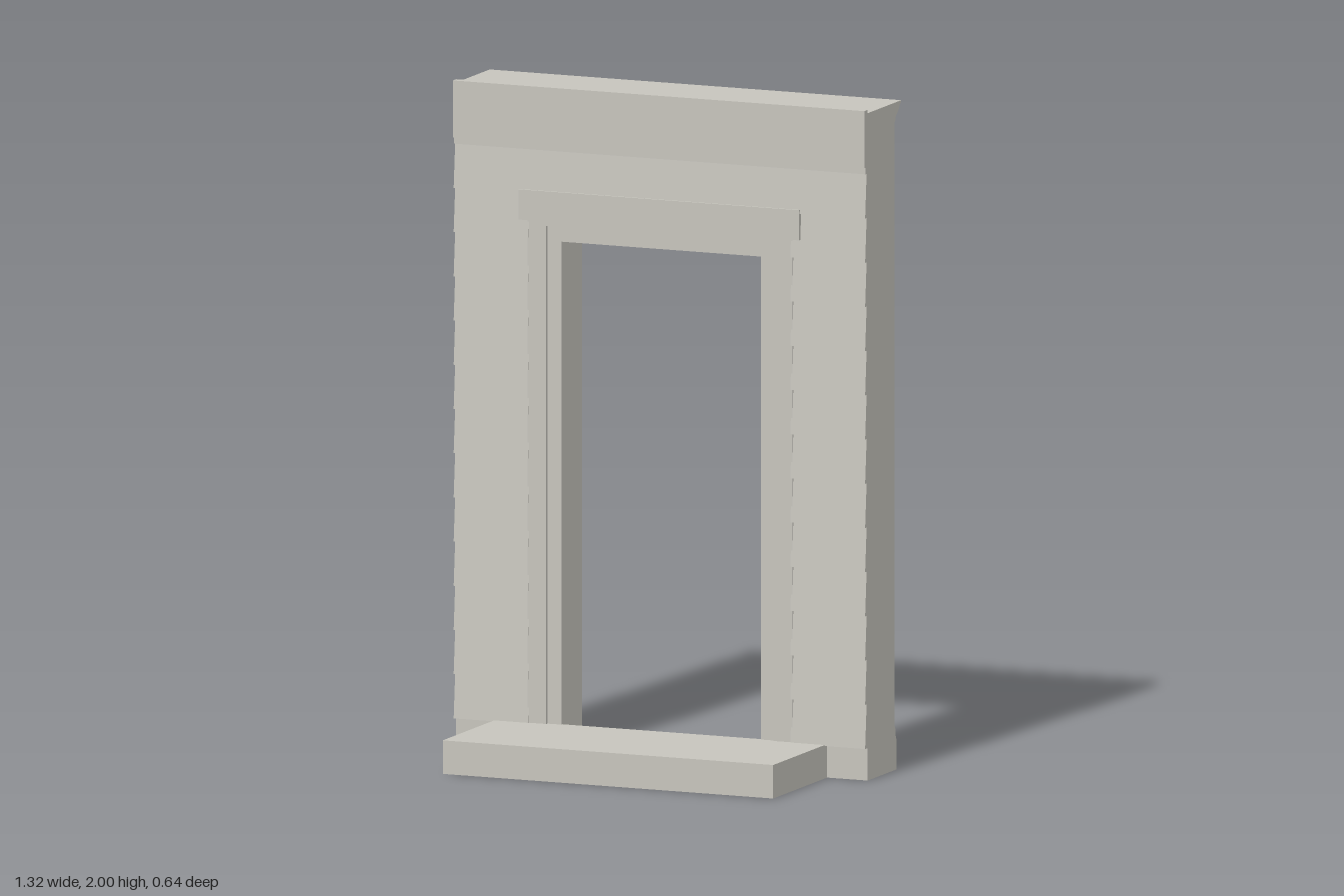
import * as THREE from 'three';

const stone = new THREE.MeshStandardMaterial({ color: 0xc6c4bc });
stone.name = 'warmGrey';

export function createModel() {
  const model = new THREE.Group();
  model.name = 'doorwayWall';

  const add = (name, geometry) => {
    const mesh = new THREE.Mesh(geometry, stone);
    mesh.name = name;
    model.add(mesh);
    return mesh;
  };

  // Box given by its limits on each axis
  const box = (name, x0, x1, y0, y1, z0, z1) =>
    add(name, new THREE.BoxGeometry(x1 - x0, y1 - y0, z1 - z0)
      .translate((x0 + x1) / 2, (y0 + y1) / 2, (z0 + z1) / 2));

  // Same box on both sides of the door
  const pair = (name, x0, x1, y0, y1, z0, z1) => {
    box(name + 'Left', x0, x1, y0, y1, z0, z1);
    box(name + 'Right', -x1, -x0, y0, y1, z0, z1);
  };

  // Moulding: a [z, y] profile run along x
  const run = (name, profile, x0, x1) => {
    const shape = new THREE.Shape(profile.map(([z, y]) => new THREE.Vector2(z, y)));
    const geometry = new THREE.ExtrudeGeometry(shape, { depth: x1 - x0, bevelEnabled: false });
    return add(name, geometry.rotateY(-Math.PI / 2).translate(x1, 0, 0));
  };
  const runPair = (name, profile, x0, x1) => {
    run(name + 'Left', profile, x0, x1);
    run(name + 'Right', profile, -x1, -x0);
  };

  // Wall layer with a doorway open to the ground
  const wallLayer = (name, halfDoor, doorTop, z0, z1) => {
    const s = new THREE.Shape();
    [[-0.66, 0], [-halfDoor, 0], [-halfDoor, doorTop], [halfDoor, doorTop],
      [halfDoor, 0], [0.66, 0], [0.66, 1.99], [-0.66, 1.99]]
      .forEach(([x, y], i) => (i ? s.lineTo(x, y) : s.moveTo(x, y)));
    add(name, new THREE.ExtrudeGeometry(s, { depth: z1 - z0, bevelEnabled: false }).translate(0, 0, z0));
  };
  wallLayer('wallFront', 0.32, 1.54, -0.22, -0.075);
  wallLayer('wallBack', 0.365, 1.585, -0.27, -0.22);

  // Step and threshold
  box('step', -0.53, 0.53, 0, 0.1, -0.075, 0.32);
  box('threshold', -0.365, 0.365, 0, 0.012, -0.28, -0.075);

  // Tapered siding boards
  const pitch = 0.1318;
  for (let i = 0; i < 13; i++) {
    const y0 = 0.097 + i * pitch, y1 = y0 + pitch;
    const board = [[-0.08, y0], [-0.056, y0], [-0.067, y1], [-0.08, y1]];
    if (i < 12) runPair('siding' + i, board, 0.42, 0.66);
    else run('siding' + i, board, -0.66, 0.66);
  }

  // Front frieze and its lower band
  box('friezeBand', -0.66, 0.66, 1.81, 1.83, -0.08, -0.06);
  box('frieze', -0.66, 0.66, 1.83, 2, -0.073, -0.05);

  // Front door trim
  pair('frontJamb', 0.32, 0.365, 0.1, 1.54, -0.08, -0.068);
  box('frontJambHead', -0.365, 0.365, 1.54, 1.585, -0.08, -0.068);
  pair('frontCasing', 0.365, 0.425, 0.1, 1.6, -0.08, -0.06);
  box('frontHeadStrip', -0.365, 0.365, 1.585, 1.6, -0.08, -0.06);
  box('frontHeader', -0.45, 0.45, 1.6, 1.69, -0.08, -0.05);

  // Back door trim with raised outer bands
  pair('backCasing', 0.365, 0.43, 0.13, 1.6, -0.28, -0.268);
  pair('backCasingBand', 0.412, 0.43, 0.13, 1.6, -0.287, -0.268);
  box('backCasingHead', -0.365, 0.365, 1.585, 1.6, -0.28, -0.268);
  box('backHeader', -0.43, 0.43, 1.6, 1.665, -0.282, -0.268);
  box('backHeaderBead', -0.437, 0.437, 1.6, 1.611, -0.288, -0.268);
  run('backHeaderCap', [[-0.268, 1.66], [-0.284, 1.66], [-0.297, 1.67], [-0.297, 1.685], [-0.268, 1.685]], -0.45, 0.45);
  pair('plinthBlock', 0.365, 0.437, 0, 0.135, -0.292, -0.268);

  // Back skirting and crown
  runPair('skirting', [[-0.268, 0], [-0.285, 0], [-0.285, 0.09], [-0.28, 0.1],
    [-0.278, 0.12], [-0.273, 0.13], [-0.268, 0.13]], 0.437, 0.66);
  run('crown', [[-0.268, 1.93], [-0.276, 1.935], [-0.28, 1.948], [-0.29, 1.956],
    [-0.302, 1.966], [-0.31, 1.98], [-0.32, 1.983], [-0.32, 1.99], [-0.268, 1.99]], -0.66, 0.66);

  // Open-ended profiles are wound either way; ExtrudeGeometry orients them outward
  return model;
}
